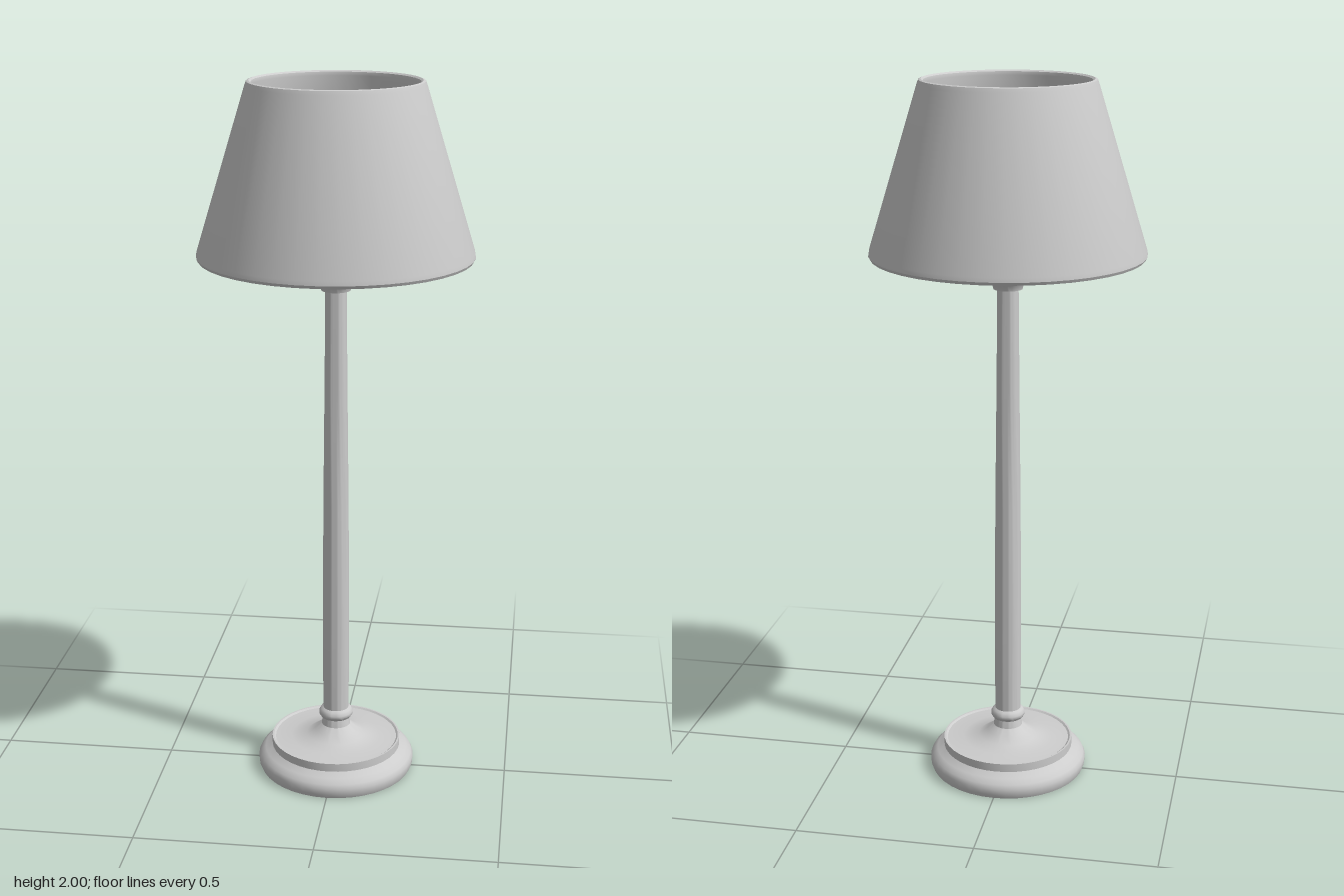
import * as THREE from 'three';
import { toCreasedNormals } from 'three/addons/utils/BufferGeometryUtils.js';

const SEGMENTS = 40;

// Revolves [radius, height] pairs, listed so the outside runs upwards
function turned(name, points, material) {
  const profile = points.map(([r, y]) => new THREE.Vector2(r, y));
  const geometry = toCreasedNormals(new THREE.LatheGeometry(profile, SEGMENTS), 0.6);
  const mesh = new THREE.Mesh(geometry, material);
  mesh.name = name;
  return mesh;
}

export function createModel() {
  const lamp = new THREE.Group();
  lamp.name = 'tableLamp';

  const grey = new THREE.MeshStandardMaterial({ color: 0xcccccc });
  grey.name = 'paleGrey';
  const warm = new THREE.MeshStandardMaterial({ color: 0xe6c992 });
  warm.name = 'warmBulb';

  // Rounded foot with a raised disc and a flared cone up to the stem
  lamp.add(turned('base', [
    [0, 0], [0.222, 0], [0.227, 0.012], [0.228, 0.03], [0.222, 0.042],
    [0.208, 0.055], [0.19, 0.064], [0.188, 0.066], [0.188, 0.09], [0.183, 0.09],
    [0.178, 0.086], [0.13, 0.088], [0.085, 0.096], [0.06, 0.112], [0.042, 0.128], [0.038, 0.15],
  ], grey));

  // Collar ring at the foot of the stem
  lamp.add(turned('collar', [
    [0.036, 0.148], [0.044, 0.152], [0.049, 0.16], [0.049, 0.168],
    [0.044, 0.177], [0.036, 0.182],
  ], grey));

  // Slightly tapered stem
  lamp.add(turned('stem', [
    [0.037, 0.14], [0.038, 0.4], [0.036, 0.8], [0.032, 1.15], [0.029, 1.46],
  ], grey));

  // Cup that holds the bulb
  lamp.add(turned('socket', [
    [0, 1.436], [0.04, 1.436], [0.044, 1.452], [0.058, 1.466], [0.076, 1.488],
    [0.085, 1.512], [0.088, 1.53], [0.096, 1.54], [0.096, 1.562],
    [0.082, 1.61], [0.074, 1.61], [0, 1.605],
  ], grey));

  // Bulb: straight neck under a round dome
  const bulb = [[0.076, 1.6], [0.078, 1.64]];
  for (let i = 0; i <= 10; i++) {
    const a = (i / 10) * Math.PI / 2;
    bulb.push([0.079 * Math.cos(a), 1.67 + 0.079 * Math.sin(a)]);
  }
  lamp.add(turned('bulb', bulb, warm));

  // Open shade with wall thickness and softened rims
  lamp.add(turned('shade', [
    [0.362, 1.532], [0.366, 1.526], [0.374, 1.526], [0.378, 1.534], [0.376, 1.546],
    [0.24, 1.988], [0.236, 1.998], [0.23, 2], [0.224, 1.996], [0.222, 1.986],
    [0.362, 1.532],
  ], grey));

  return lamp;
}
